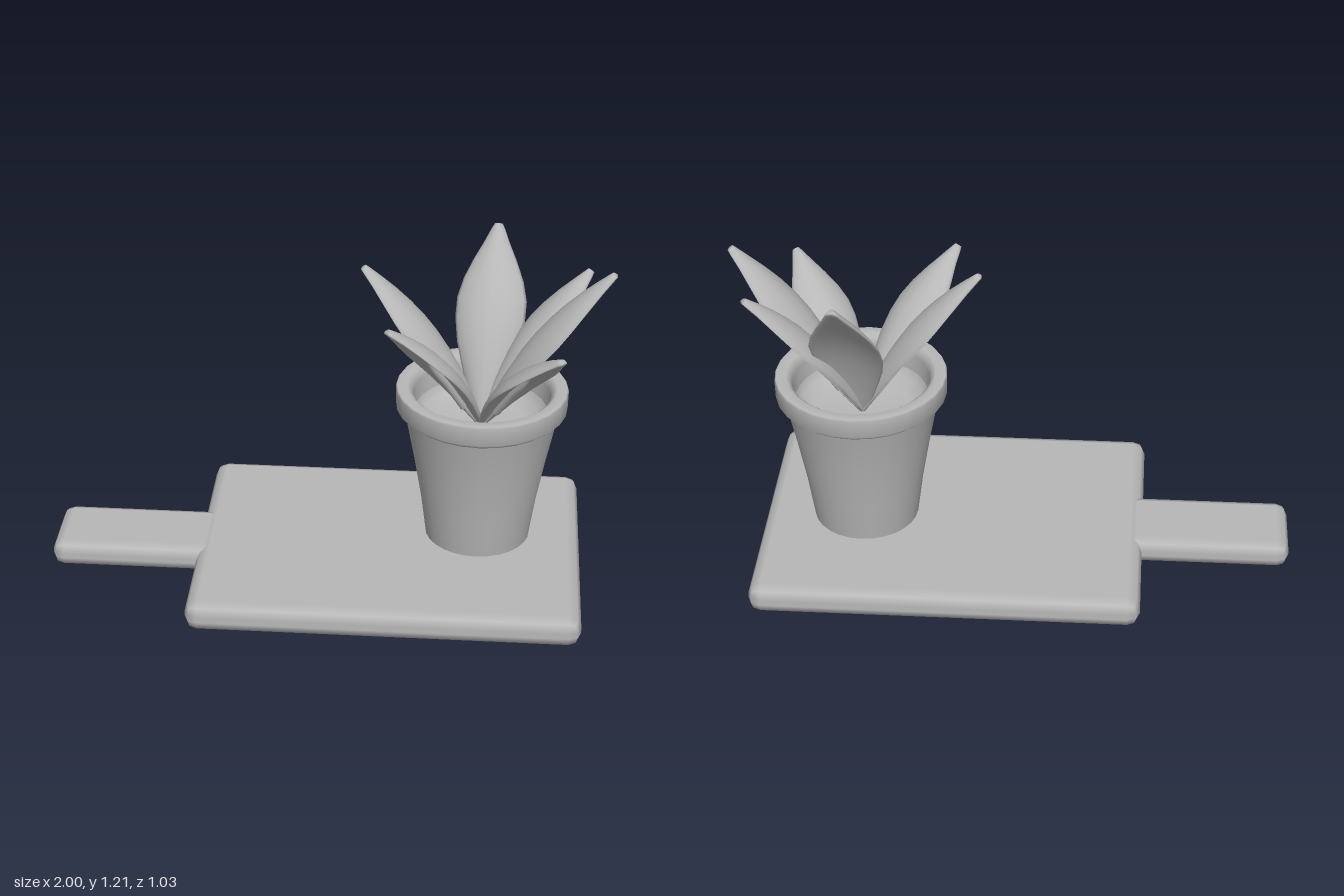
import * as THREE from 'three';
import { RoundedBoxGeometry } from 'three/addons/geometries/RoundedBoxGeometry.js';

const POT_X = 0.553, POT_Z = -0.04;

// Leaf swept from cross-section rings: arched, convex on top, hollow underneath
function leafGeometry(tip, halfWidth) {
  const base = new THREE.Vector3(POT_X, 0.58, POT_Z);
  const along = tip.clone().sub(base).normalize();
  const side = new THREE.Vector3(along.z, 0, -along.x).normalize();
  const normal = along.clone().cross(side).normalize();

  // distance along the leaf, relative half width
  const profile = [[0, 0.1], [0.12, 0.38], [0.25, 0.62], [0.4, 0.87], [0.52, 0.98], [0.62, 0.98],
    [0.72, 0.84], [0.82, 0.6], [0.91, 0.35], [0.975, 0.19], [1, 0.11]];
  const around = 16, pos = [], index = [];
  profile.forEach(([t, w], i) => {
    const half = w * halfWidth;
    const thick = 0.017 * Math.min(1, 0.55 + w);
    const arch = 0.053 * Math.sin(Math.PI * t);
    for (let j = 0; j < around; j++) {
      const a = (j / around) * Math.PI * 2, u = Math.cos(a);
      const p = base.clone().lerp(tip, t)
        .addScaledVector(side, u * half)
        .addScaledVector(normal, arch - 0.35 * half * u * u + thick * Math.sin(a));
      pos.push(p.x, p.y, p.z);
      if (i < profile.length - 1) {
        const k = (j + 1) % around, r = i * around, s = r + around;
        index.push(r + j, r + k, s + j, r + k, s + k, s + j);
      }
    }
  });
  // tip cap
  const last = (profile.length - 1) * around;
  for (let j = 1; j < around - 1; j++) index.push(last, last + j, last + j + 1);
  const blade = new THREE.BufferGeometry();
  blade.setAttribute('position', new THREE.Float32BufferAttribute(pos, 3));
  blade.setIndex(index);
  blade.computeVertexNormals();

  // slim rib on the underside
  const ribPoint = (t, offset) => base.clone().lerp(tip, t).addScaledVector(normal, offset);
  const rib = new THREE.TubeGeometry(new THREE.CatmullRomCurve3(
    [ribPoint(0.2, 0), ribPoint(0.4, 0.015), ribPoint(0.56, 0.022), ribPoint(0.64, 0.038)]), 10, 0.013, 8);
  return { blade, rib };
}

export function createModel() {
  const model = new THREE.Group();
  model.name = 'pottedPlantOnBoard';
  const clay = new THREE.MeshStandardMaterial({ color: 0xb8b8b8 });
  clay.name = 'plainGrey';
  const add = (name, geometry, x = 0, y = 0, z = 0, parent = model) => {
    const m = new THREE.Mesh(geometry, clay);
    m.name = name;
    m.position.set(x, y, z);
    parent.add(m);
  };
  const lathe = (points) => new THREE.LatheGeometry(points.map(([r, y]) => new THREE.Vector2(r, y)), 28);

  // Board with handle
  add('board', new RoundedBoxGeometry(1.395, 0.11, 1.035, 1, 0.045), 0.2325, 0.055, -0.0025);
  add('handle', new RoundedBoxGeometry(0.6, 0.1, 0.3, 1, 0.042), -0.7, 0.06, -0.005);

  // Pot: wall, collar and inner lip
  add('pot', lathe([[0, 0.135], [0.186, 0.135], [0.19, 0.137], [0.212, 0.3], [0.24, 0.46],
    [0.275, 0.638], [0.284, 0.642], [0.306, 0.662], [0.307, 0.728], [0.302, 0.735],
    [0.266, 0.735], [0.252, 0.724], [0.244, 0.7], [0.236, 0.6]]), POT_X, 0, POT_Z);

  // Soil, dished towards the middle
  add('soil', lathe([[0.241, 0.64], [0.225, 0.6], [0.18, 0.575], [0, 0.57]]
    .reverse()), POT_X, 0, POT_Z);
  model.children[model.children.length - 1].geometry.index.array.reverse();
  model.children[model.children.length - 1].geometry.computeVertexNormals();

  // Leaves: tip position, half width, whether a rib shows beneath
  const plant = new THREE.Group();
  plant.name = 'plant';
  model.add(plant);
  const leaves = [
    [0.59, 1.205, -0.4, 0.128, false],
    [0.125, 1.17, -0.075, 0.12, false],
    [0.228, 1.092, 0.267, 0.112, true],
    [0.82, 1.027, 0.315, 0.112, true],
    [0.993, 1.207, 0, 0.125, false],
    [0.92, 1.122, -0.212, 0.115, true],
  ];
  leaves.forEach(([x, y, z, w, ribbed]) => {
    const { blade, rib } = leafGeometry(new THREE.Vector3(x, y, z), w);
    add('leaf', blade, 0, 0, 0, plant);
    if (ribbed) add('leafRib', rib, 0, 0, 0, plant);
  });
  return model;
}
